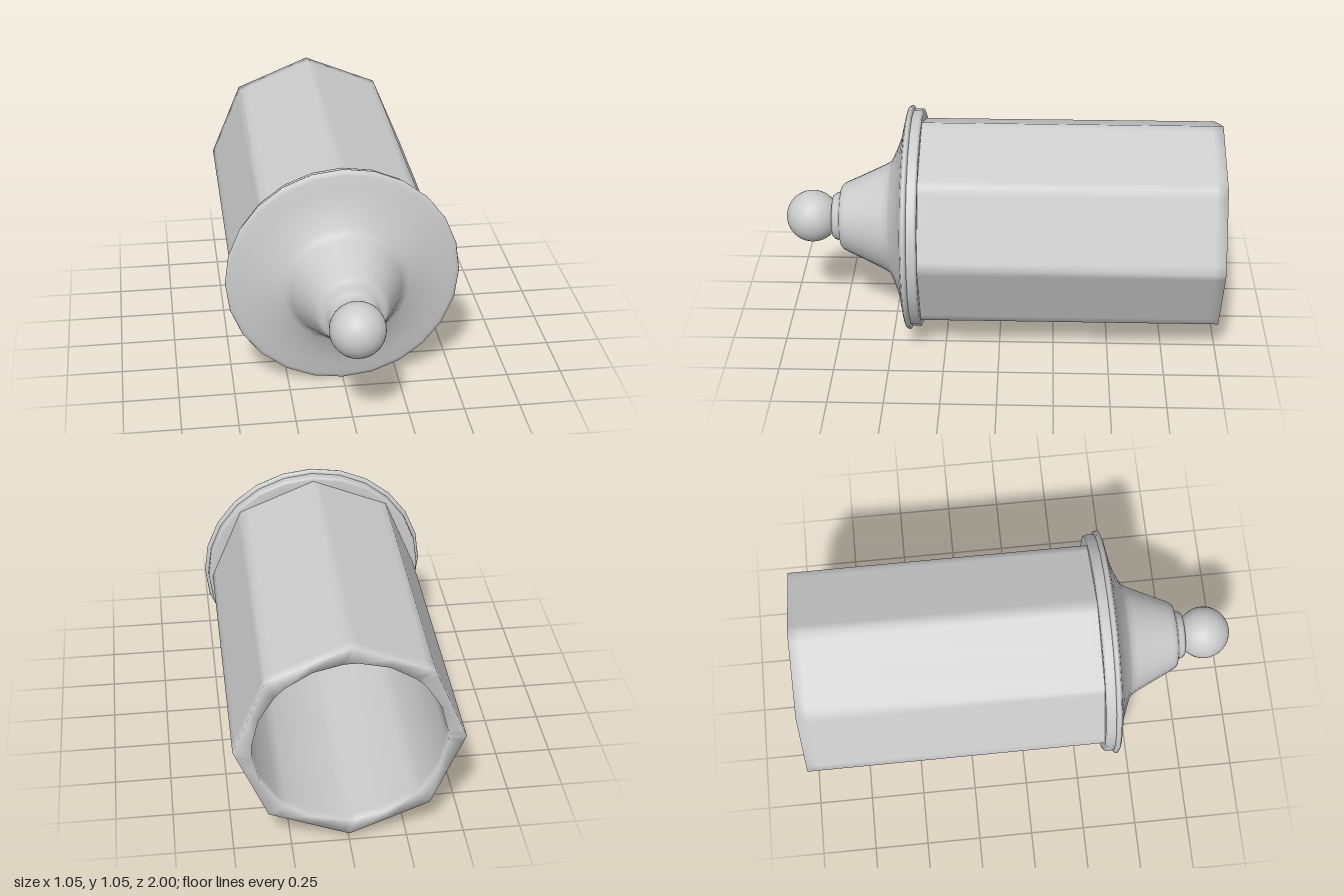
import * as THREE from 'three';

const AXIS_Y = 0.523;
const SIDES = 8;
const BODY_R = 0.489;
const BORE_R = 0.41;

// Points round one cross-section: each side has a corner, two edge-support points and a middle.
function ring(round, scale, z) {
  const pts = [];
  for (let s = 0; s < SIDES; s++) {
    const a0 = (s / SIDES) * Math.PI * 2;
    const a1 = ((s + 1) / SIDES) * Math.PI * 2;
    const p0 = new THREE.Vector2(Math.cos(a0), Math.sin(a0));
    const p1 = new THREE.Vector2(Math.cos(a1), Math.sin(a1));
    for (const t of [0, 0.1, 0.5, 0.9]) {
      const p = p0.clone().lerp(p1, t);
      if (round) {
        const a = a0 + (a1 - a0) * t;
        p.set(Math.cos(a), Math.sin(a));
      }
      pts.push(p.x * scale, p.y * scale, z);
    }
  }
  return pts;
}

// Skin a list of rings running front to back outside, then back to front inside.
function skin(rings) {
  const n = rings[0].length / 3;
  const index = [];
  for (let i = 0; i < rings.length - 1; i++) {
    for (let j = 0; j < n; j++) {
      const k = (j + 1) % n;
      const a = i * n + j, b = i * n + k, c = a + n, d = b + n;
      index.push(a, c, b, b, c, d);
    }
  }
  const geo = new THREE.BufferGeometry();
  geo.setAttribute('position', new THREE.Float32BufferAttribute(rings.flat(), 3));
  geo.setIndex(index);
  geo.computeVertexNormals();
  return geo;
}

// Turned part whose profile is given as [radius, z].
function turned(profile, segments) {
  const geo = new THREE.LatheGeometry(profile.map(([r, z]) => new THREE.Vector2(r, z)), segments);
  return geo.rotateX(Math.PI / 2);
}

export function createModel() {
  const group = new THREE.Group();
  const material = new THREE.MeshStandardMaterial({ color: 0xcccccc });
  const add = (name, geo) => {
    const mesh = new THREE.Mesh(geo, material);
    mesh.name = name;
    mesh.position.y = AXIS_Y;
    group.add(mesh);
    return mesh;
  };

  // Octagonal body with softened edges and a round bore open at the back
  add('octagonalBody', skin([
    ring(false, BODY_R, 0.37),
    ring(false, BODY_R, 0.32),
    ring(false, BODY_R, -0.95),
    ring(false, BODY_R, -1),
    ring(true, BORE_R, -1),
    ring(true, BORE_R, -0.96),
    ring(true, BORE_R, 0.3),
    ring(true, BORE_R, 0.34),
    ring(true, BORE_R - 0.04, 0.34),
    ring(true, 0.001, 0.34),
  ]));

  // Collar behind the flange
  add('collar', turned([
    [0, 0.358], [0.47, 0.358], [0.495, 0.358], [0.505, 0.362],
    [0.507, 0.37], [0.507, 0.395], [0.505, 0.408],
  ], 24));

  // Flared cap: thin flange sweeping up into a cone and stepped neck
  add('flaredCap', turned([
    [0.49, 0.402], [0.51, 0.404], [0.52, 0.409], [0.523, 0.417], [0.519, 0.426],
    [0.5, 0.433], [0.45, 0.443], [0.39, 0.456], [0.33, 0.478], [0.285, 0.498],
    [0.262, 0.512], [0.245, 0.54], [0.2, 0.635], [0.163, 0.715], [0.155, 0.73],
    [0.143, 0.741], [0.118, 0.748], [0.112, 0.755], [0.108, 0.77], [0.098, 0.782],
    [0.07, 0.786], [0, 0.786],
  ], 24));

  // Ball finial
  const ball = add('ballFinial', new THREE.SphereGeometry(0.121, 32, 20).rotateX(Math.PI / 2));
  ball.position.z = 0.879;

  return group;
}
